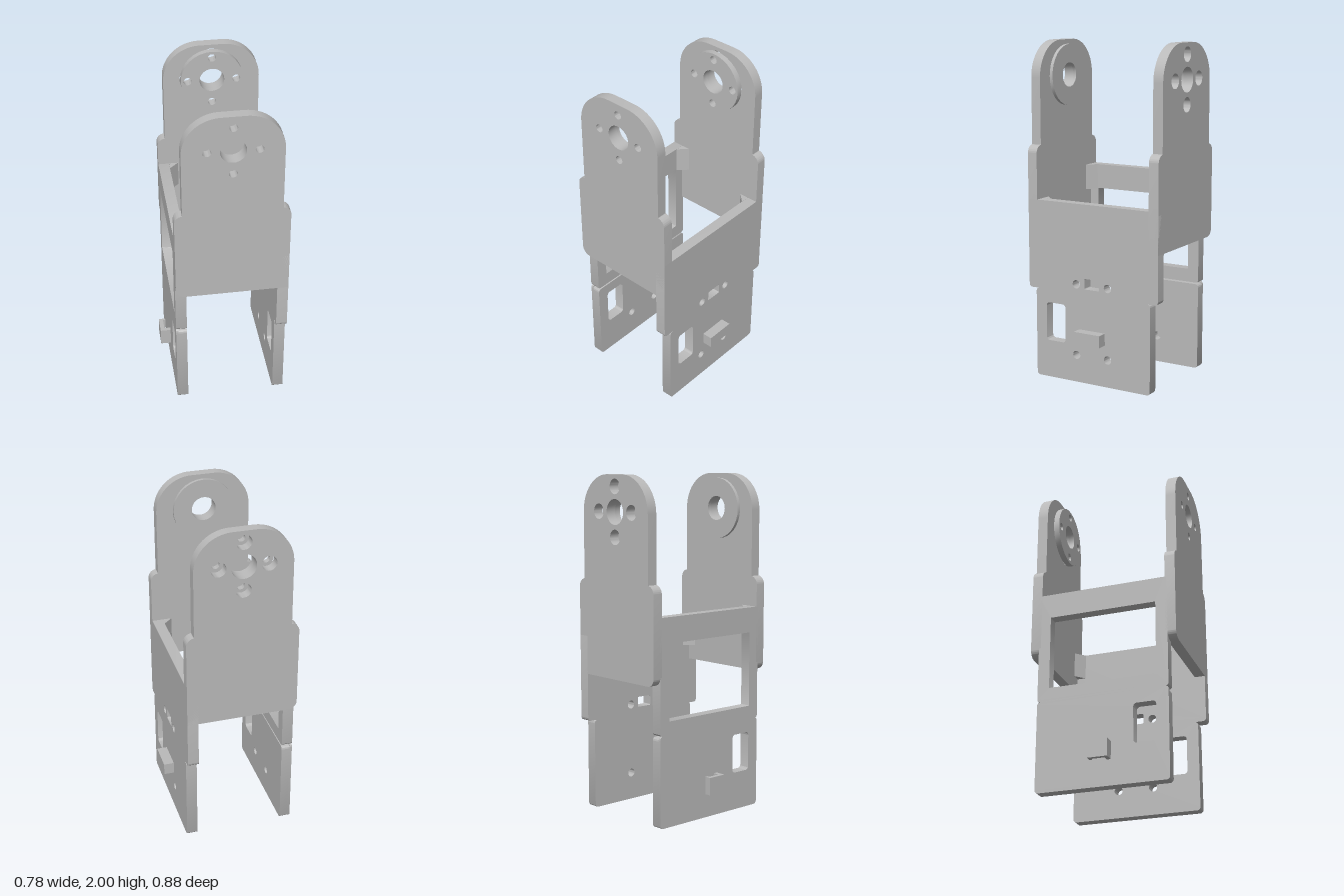
import * as THREE from 'three';
import { toCreasedNormals } from 'three/addons/utils/BufferGeometryUtils.js';

const HALF_W = 0.328, THICK = 0.065, HALF_D = 0.44, AXIS_Y = 1.79;

// Rectangle with one corner radius, used for outlines and cut-outs
function roundRect(target, x0, y0, x1, y1, r) {
  target.moveTo(x0 + r, y0);
  target.lineTo(x1 - r, y0);
  target.absarc(x1 - r, y0 + r, r, -Math.PI / 2, 0, false);
  target.lineTo(x1, y1 - r);
  target.absarc(x1 - r, y1 - r, r, 0, Math.PI / 2, false);
  target.lineTo(x0 + r, y1);
  target.absarc(x0 + r, y1 - r, r, Math.PI / 2, Math.PI, false);
  target.lineTo(x0, y0 + r);
  target.absarc(x0 + r, y0 + r, r, Math.PI, Math.PI * 1.5, false);
  return target;
}

function panel(z0, y0, z1, y1, r, holes = []) {
  const s = roundRect(new THREE.Shape(), z0, y0, z1, y1, r);
  s.holes.push(...holes);
  return s;
}

const circle = (x, y, r) => new THREE.Path().absarc(x, y, r, 0, Math.PI * 2, true);
const rectHole = (x0, y0, x1, y1, r) => roundRect(new THREE.Path(), x0, y0, x1, y1, r);
const polygon = (pts) => new THREE.Shape(pts.map(([x, y]) => new THREE.Vector2(x, y)));

function extrude(shape, depth) {
  const g = new THREE.ExtrudeGeometry(shape, { depth, bevelEnabled: false, curveSegments: 16 });
  return toCreasedNormals(g, 0.6);
}
// Shape drawn in (z, y), filling x0..x1
const alongX = (shape, x0, x1) => extrude(shape, x1 - x0).rotateY(-Math.PI / 2).translate(x1, 0, 0);
// Shape drawn in (x, -z), filling y0..y1
const alongY = (shape, y0, y1) => extrude(shape, y1 - y0).rotateX(-Math.PI / 2).translate(0, y0, 0);
// Shape drawn in (x, y), filling z0..z1
const alongZ = (shape, z0, z1) => extrude(shape, z1 - z0).translate(0, 0, z0);

// Centre bore plus four screw holes around it
function hubHoles(screwRadius) {
  const holes = [circle(0, AXIS_Y, 0.073)];
  if (screwRadius) {
    for (const [dx, dy] of [[1, 0], [0, 1], [-1, 0], [0, -1]])
      holes.push(circle(dx * 0.143, AXIS_Y + dy * 0.143, screwRadius));
  }
  return holes;
}

// Shouldered arm plate with a rounded head
function armShape(screwRadius) {
  const s = new THREE.Shape();
  const W = HALF_W, N = 0.283, R = 0.215, r = 0.05, top = 2, sh = 1.395, bot = 0.828;
  s.moveTo(-W + r, bot);
  s.lineTo(W, bot);
  s.lineTo(W, sh - r);
  s.absarc(W - r, sh - r, r, 0, Math.PI / 2, false);
  s.lineTo(N, sh);
  s.lineTo(N, top - R);
  s.absarc(N - R, top - R, R, 0, Math.PI / 2, false);
  s.lineTo(-N + R, top);
  s.absarc(-N + R, top - R, R, Math.PI / 2, Math.PI, false);
  s.lineTo(-N, sh);
  s.lineTo(-W + r, sh);
  s.absarc(-W + r, sh - r, r, Math.PI / 2, Math.PI, false);
  s.lineTo(-W, bot + r);
  s.absarc(-W + r, bot + r, r, Math.PI, Math.PI * 1.5, false);
  s.holes.push(...hubHoles(screwRadius));
  return s;
}

function bossShape(screwRadius) {
  const s = new THREE.Shape().absarc(0, AXIS_Y, 0.183, 0, Math.PI * 2, false);
  s.holes.push(...hubHoles(screwRadius));
  return s;
}

export function createModel() {
  const group = new THREE.Group();
  group.name = 'bracket';
  const grey = new THREE.MeshStandardMaterial({ color: 0xbababa });
  grey.name = 'grey';
  const add = (name, geometry) => {
    const m = new THREE.Mesh(geometry, grey);
    m.name = name;
    group.add(m);
  };

  // Front and back arms with their inner bosses
  const inner = 0.378;
  add('frontArm', alongZ(armShape(0.024), inner, HALF_D));
  add('frontBoss', alongZ(bossShape(0), 0.358, inner));
  add('backArm', alongZ(armShape(0.044), -HALF_D, -inner));
  add('backBoss', alongZ(bossShape(0.024), -inner, -0.343));

  const xi = HALF_W - THICK;
  const cableHole = () => rectHole(0.185, 0.227, 0.318, 0.46, 0.02);
  const pair = (y) => [circle(-0.107, y, 0.025), circle(0.107, y, 0.025)];

  // Left wall: wide upper panel over a narrower lower panel
  add('leftWallUpper', alongX(panel(-HALF_D, 0.54, HALF_D, 1.075, 0.02,
    [...pair(0.595), rectHole(-0.05, 0.572, 0.05, 0.635, 0.005)]), xi, HALF_W));
  add('leftWallLower', alongX(panel(-0.39, 0, 0.39, 0.54, 0.02,
    [...pair(0.165), cableHole()]), xi, HALF_W));
  // Square off the hidden top corners of the upper panel
  for (const s of [-1, 1]) {
    const cap = new THREE.BoxGeometry(THICK, 0.1, 0.06);
    cap.translate(HALF_W - THICK / 2, 1.025, s * 0.405);
    add('leftWallCorner', cap);
  }

  // Right wall: upper frame with a window, lower panel with blind holes
  add('rightWallFrame', alongX(panel(-0.39, 0.54, 0.39, 1.215, 0.015,
    [rectHole(-0.32, 0.62, 0.32, 1.065, 0.002)]), -HALF_W, -xi));
  add('rightWallOuter', alongX(panel(-0.39, 0, 0.39, 0.54, 0.02, [cableHole()]), -HALF_W, -0.313));
  add('rightWallInner', alongX(panel(-0.39, 0, 0.39, 0.53, 0.02,
    [...pair(0.165), cableHole()]), -0.313, -xi));

  // Corner gussets between walls and arms
  for (const sx of [-1, 1]) {
    const top = sx > 0 ? 1.075 : 1.215;
    for (const sz of [-1, 1]) {
      const pts = [[sx * 0.262, sz * 0.38], [sx * 0.205, sz * 0.38], [sx * 0.262, sz * 0.325]];
      add('gusset', alongY(polygon(pts), top - 0.155, top));
    }
  }

  // Stop block on the left wall
  const block = new THREE.BoxGeometry(0.062, 0.072, 0.176);
  block.translate(0.358, 0.289, 0);
  add('stopBlock', block);

  // Cable hook on the right wall
  add('cableHook', alongY(polygon([
    [-0.326, -0.055], [-0.326, -0.032], [-0.365, -0.032], [-0.365, 0.045],
    [-0.35, 0.045], [-0.35, 0.06], [-0.39, 0.06], [-0.39, -0.055],
  ]), 0.15, 0.255));

  return group;
}
